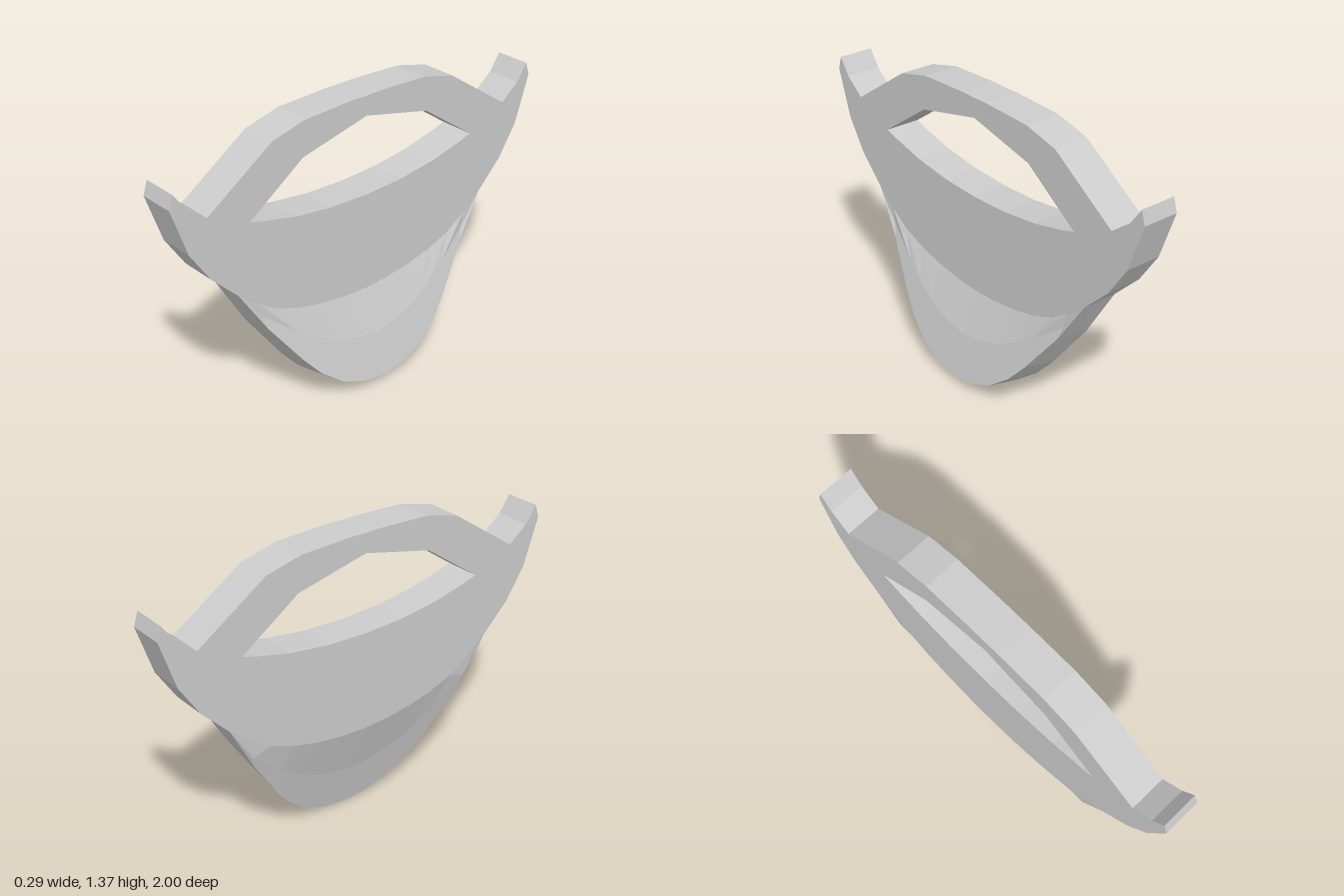
import * as THREE from 'three';

const BACK = -0.147, FRONT = 0.023;

// Half profiles as [z, y], running from the side towards the middle
const BEND = [[0.7, 0.69], [0.6, 0.61], [0.5, 0.545], [0.38, 0.5], [0.25, 0.47], [0.12, 0.453], [0, 0.447]];
const CREASE = [[0.7, 0.69], [0.585, 0.54], [0.43, 0.42], [0.34, 0.36], [0.23, 0.3], [0.11, 0.265], [0, 0.25]];
const RIM = [[0.7, 0.69], [0.567, 0.48], [0.42, 0.28], [0.34, 0.187], [0.235, 0.105], [0.12, 0.06], [0, 0.045]];
const TOP = [[0, 1.37], [0.07, 1.372], [0.33, 1.362], [0.5, 1.32], [0.83, 1.097], [0.925, 1.17], [0.98, 1.25],
  [1, 1.187], [0.925, 0.965], [0.83, 0.82]];
const HOLE = [[0, 1.28], [0.345, 1.2], [0.625, 1.005], [0.56, 0.985], [0.39, 0.945], [0.2, 0.92], [0, 0.912]];

// Complete a half profile that ends on the middle line
const mirror = (half) => [...half, ...half.slice(0, -1).reverse().map(([z, y]) => [-z, y])];

// Closed clockwise loop from a half profile that starts and ends on the middle line
const loop = (half) => mirror(half).slice(0, -1).map(([z, y]) => new THREE.Vector2(z, y));

// Flat upper plate with horns and an eye-shaped opening, left open along the bend
function plateGeometry() {
  // Outline runs counter-clockwise and the opening clockwise
  const shape = new THREE.Shape(loop([...TOP, ...BEND]).reverse());
  shape.holes.push(new THREE.Path(loop(HOLE)));
  const full = new THREE.ExtrudeGeometry(shape, { depth: FRONT - BACK, bevelEnabled: false });
  full.rotateY(Math.PI / 2).translate(BACK, 0, 0);
  const p = full.attributes.position, n = full.attributes.normal, kept = [];
  for (let i = 0; i < p.count; i += 3) {
    const wall = Math.abs(n.getX(i)) < 0.5;
    const low = Math.max(p.getY(i), p.getY(i + 1), p.getY(i + 2)) < 0.695;
    if (wall && low) continue;
    for (let k = i; k < i + 3; k++) kept.push(p.getX(k), p.getY(k), p.getZ(k));
  }
  const g = new THREE.BufferGeometry();
  g.setAttribute('position', new THREE.Float32BufferAttribute(kept, 3));
  g.computeVertexNormals();
  return g;
}

// Tilted lower tongue: one open cross-section per column, front face, rim, then back face
function tongueGeometry() {
  const [bend, crease, rim] = [BEND, CREASE, RIM].map(mirror);
  const last = bend.length - 1;
  const tiltX = (y) => Math.max(FRONT, 0.082 + (0.31 - y) * 0.245);
  const positions = [], index = [];
  bend.forEach(([bz, by], i) => {
    // The back face drops below the front one, less so near the ends
    const drop = [0, 0.027][Math.min(i, last - i)] ?? 0.04;
    const front = [[FRONT, by, bz], ...[crease[i], rim[i]].map(([z, y]) => [tiltX(y), y, z])];
    const back = front.map(([x, y, z], r) =>
      r === 0 || drop === 0 ? [BACK, y, z] : [Math.max(BACK, x - 0.165), y - drop, z]);
    positions.push(...front.flat(), ...back.reverse().flat());
  });
  for (let i = 0; i < last; i++) {
    for (let j = 0; j < 5; j++) {
      const a = i * 6 + j, d = a + 6;
      // Mirror the diagonals about the middle
      if (i < last / 2) index.push(a, a + 1, d + 1, a, d + 1, d);
      else index.push(a, a + 1, d, a + 1, d + 1, d);
    }
  }
  const g = new THREE.BufferGeometry();
  g.setAttribute('position', new THREE.Float32BufferAttribute(positions, 3));
  g.setIndex(index);
  const flat = g.toNonIndexed();
  flat.computeVertexNormals();
  return flat;
}

export function createModel() {
  const group = new THREE.Group();
  group.name = 'curvedPlate';
  const material = new THREE.MeshStandardMaterial({ color: 0xcccccc, flatShading: true });
  const add = (name, geometry) => {
    const mesh = new THREE.Mesh(geometry, material);
    mesh.name = name;
    group.add(mesh);
  };
  add('upperPlate', plateGeometry());
  add('lowerTongue', tongueGeometry());
  return group;
}
